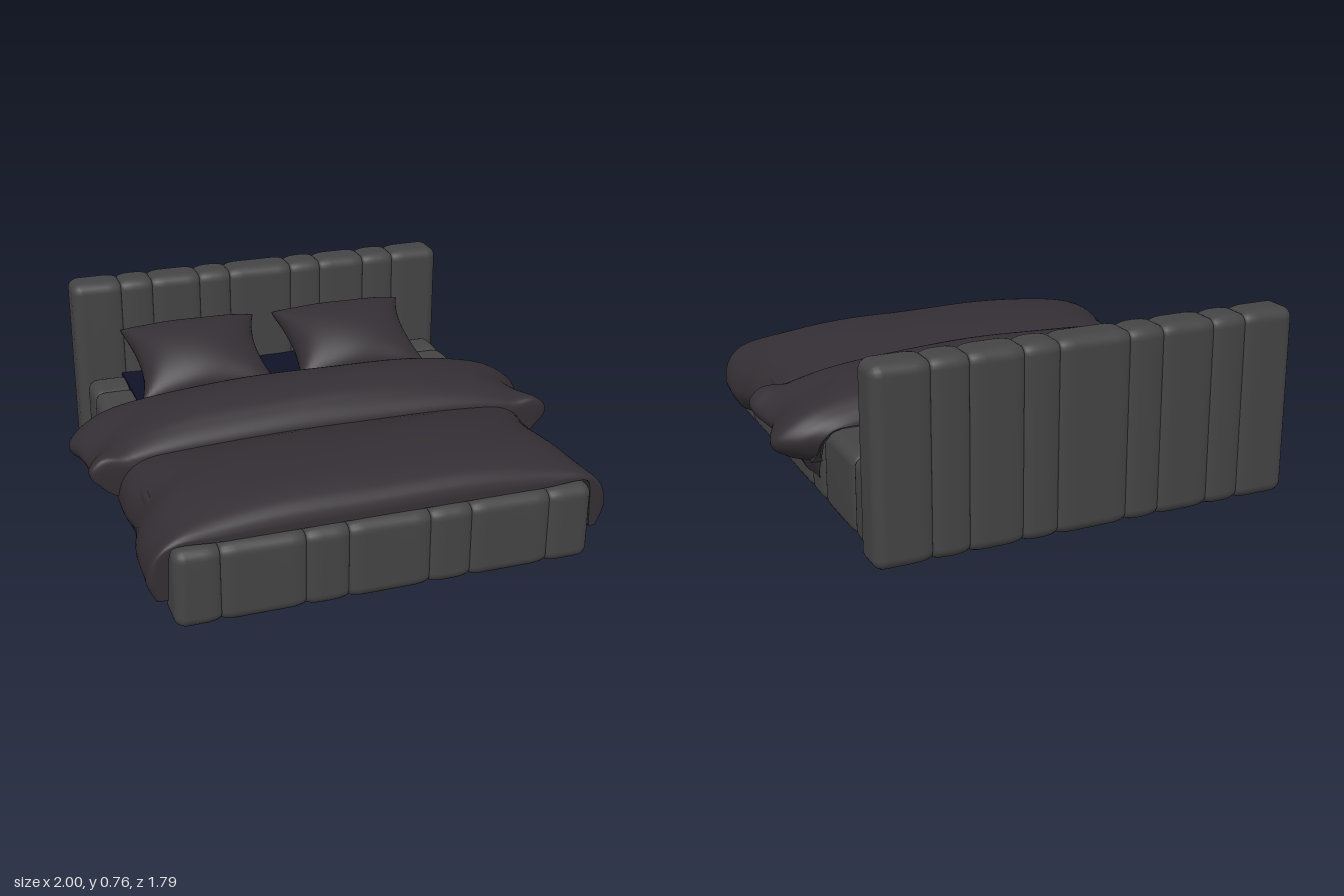
import * as THREE from 'three';
import { mergeVertices } from 'three/addons/utils/BufferGeometryUtils.js';

const { smoothstep } = THREE.MathUtils;
const mat = (color) => new THREE.MeshStandardMaterial({ color, side: THREE.DoubleSide });

// Smooth surface from a grid of points; faces look along du x dv
function surface(nu, nv, point) {
  const pos = [], idx = [];
  for (let i = 0; i <= nu; i++) for (let j = 0; j <= nv; j++) pos.push(...point(i, j));
  for (let i = 0; i < nu; i++) for (let j = 0; j < nv; j++) {
    const a = i * (nv + 1) + j, b = a + nv + 1;
    idx.push(a, b, b + 1, a, b + 1, a + 1);
  }
  let g = new THREE.BufferGeometry();
  g.setAttribute('position', new THREE.Float32BufferAttribute(pos, 3));
  g.setIndex(idx);
  g = mergeVertices(g, 1e-5);
  g.computeVertexNormals();
  return g;
}

// Upholstered panel along x: rounded section, each end eased by its own depth and width
function panelGeometry(x0, x1, h, d, endA, endB) {
  const R = 0.045, N = 6;
  const end = ([depth, width], x, dir) => {
    const list = [{ x, inset: depth + 0.006, s: 0 }, { x, inset: depth + 0.006, s: 1 }];
    for (let k = 0; k <= N; k++) {
      const f = (k / N) * Math.PI / 2;
      list.push({ x: x + dir * width * (1 - Math.cos(f)), inset: depth * (1 - Math.sin(f)), s: 1 });
    }
    return list;
  };
  const rows = [...end(endA, x0, 1), ...end(endB, x1, -1).reverse()];
  const signs = [[1, 1], [-1, 1], [-1, -1], [1, -1]];
  return surface(24, rows.length - 1, (i, j) => {
    const { x, inset, s } = rows[j];
    const n = i % 24, k = Math.floor(n / 6), a = (k + (n % 6) / 5) * Math.PI / 2;
    const r = Math.max(R - inset, 0.004);
    const y = signs[k][0] * (h / 2 - inset - r) + r * Math.cos(a);
    const z = signs[k][1] * (d / 2 - inset - r) + r * Math.sin(a);
    return [x, y * s, z * s];
  });
}

// Row of panels between the listed seams
function panelRow(name, seams, h, d, material) {
  const group = new THREE.Group();
  group.name = name;
  const groove = [0.016, 0.06], round = [0.04, 0.045];
  for (let i = 0; i < seams.length - 1; i++) {
    const first = i === 0, last = i === seams.length - 2;
    const m = new THREE.Mesh(panelGeometry(seams[i], seams[i + 1], h, d,
      first ? round : groove, last ? round : groove), material);
    m.name = name + 'Panel';
    group.add(m);
  }
  return group;
}

// Puffed cover: the outer section swells away from the inner one by station [z, puff, width]
function cover(outer, inner, stations, hemLift) {
  const spline = (half) => new THREE.SplineCurve([
    ...half.slice(1).reverse().map(([x, y]) => new THREE.Vector2(-x, y)),
    ...half.map(([x, y]) => new THREE.Vector2(x, y))]);
  const out = spline(outer), inn = spline(inner);
  const along = new THREE.CatmullRomCurve3(stations.map((s) => new THREE.Vector3(...s)));
  const NU = 72, NV = 64;
  return surface(NU, 2 * NV + 2, (i, j) => {
    const st = along.getPoint(i / NU), p = Math.max(st.y, 0), w = st.z;
    const n = j % (2 * NV + 2), top = n <= NV;
    const t = top ? n / NV : 1 - (n - NV - 1) / NV;
    const a = inn.getPoint(t);
    let x = a.x, y = a.y, z = st.x;
    if (top) {
      const b = out.getPoint(t), q = p ** 0.3;
      const side = smoothstep(Math.abs(b.x), 0.6, 0.9);
      x += (b.x * w - a.x) * q;
      y += (b.y - a.y) * p;
      // soft wrinkles, stronger where the cloth hangs
      x += Math.sign(x) * side * p * 0.005 * Math.sin(z * 21 + x * 5);
      y += p * 0.003 * Math.sin(x * 9 + z * 14) + side * p * 0.005 * Math.sin(z * 23 + x * 8);
    }
    y += smoothstep(Math.abs(x), 0.82, 0.95) * hemLift * smoothstep(z, 0, 0.19);
    // the hanging back edge sweeps forward
    z += 0.065 * smoothstep(-z, 0.05, 0.31) * (1 - smoothstep(y, 0.13, 0.33));
    return [x, y, z];
  });
}

// Pillow half: pinched corners, swollen middle
function pillowHalf(sign, thickness) {
  const N = 28;
  return surface(N, N, (i, j) => {
    const ease = (k) => Math.sin((k / N - 0.5) * Math.PI);
    const v = ease(i), u = ease(j) * sign;
    const h = thickness * Math.max((1 - u * u) * (1 - v * v), 0) ** 0.42;
    const ripple = 1 + 0.05 * Math.sin(7 * u + 3 * v) * (u * u + v * v) / 2;
    return [0.305 * u * (1 - 0.15 * (1 - v * v)), sign * h * ripple, 0.222 * v * (1 - 0.06 * (1 - u * u))];
  });
}

export function createModel() {
  const bed = new THREE.Group();
  bed.name = 'bed';
  const frameMat = mat(0x444444), clothMat = mat(0x332e33), mattressMat = mat(0x101226);

  // Headboard and footboard
  const headboard = panelRow('headboard',
    [-0.855, -0.64, -0.5, -0.285, -0.145, 0.14, 0.28, 0.49, 0.635, 0.855], 0.757, 0.16, frameMat);
  headboard.position.set(0, 0.3785, -0.815);
  const footboard = panelRow('footboard',
    [-0.82, -0.65, -0.33, -0.165, 0.155, 0.32, 0.64, 0.82], 0.315, 0.18, frameMat);
  footboard.position.set(0, 0.1575, 0.802);
  bed.add(headboard, footboard);

  // Side rails
  for (const s of [1, -1]) {
    const rail = panelRow(s > 0 ? 'leftRail' : 'rightRail',
      [-0.74, -0.58, -0.25, -0.09, 0.25, 0.4, 0.74], 0.325, 0.19, frameMat);
    rail.rotation.y = -Math.PI / 2;
    rail.position.set(s * 0.725, 0.1625, 0);
    bed.add(rail);
  }

  // Mattress, recessed above the floor
  const mattress = new THREE.Mesh(new THREE.BoxGeometry(1.32, 0.25, 1.48), mattressMat);
  mattress.name = 'mattress';
  mattress.position.y = 0.205;
  bed.add(mattress);

  // Duvet draped over the frame
  const duvet = new THREE.Mesh(cover(
    [[0, 0.452], [0.35, 0.447], [0.62, 0.422], [0.78, 0.375], [0.875, 0.28], [0.905, 0.18], [0.865, 0.1]],
    [[0, 0.314], [0.35, 0.314], [0.62, 0.314], [0.79, 0.322], [0.825, 0.29], [0.83, 0.2], [0.835, 0.115]],
    [[-0.31, 0, 0.95], [-0.28, 0.3, 0.96], [-0.15, 0.4, 0.97], [0, 0.42, 0.97], [0.15, 0.42, 0.98],
      [0.25, 0.62, 0.97], [0.4, 0.9, 0.955], [0.55, 1, 0.975], [0.68, 0.95, 1], [0.78, 0.74, 1.01],
      [0.825, 0.52, 1.02], [0.845, 0.25, 1.02], [0.85, 0, 1.01]], 0), clothMat);
  duvet.name = 'duvet';

  // Folded-back top of the duvet
  const fold = new THREE.Mesh(cover(
    [[0, 0.505], [0.4, 0.493], [0.68, 0.455], [0.87, 0.39], [0.985, 0.3], [0.99, 0.24], [0.92, 0.19]],
    [[0, 0.332], [0.4, 0.332], [0.64, 0.332], [0.78, 0.328], [0.84, 0.28], [0.85, 0.23], [0.87, 0.19]],
    [[-0.318, 0, 0.82], [-0.308, 0.22, 0.88], [-0.275, 0.5, 0.96], [-0.21, 0.77, 1.01], [-0.12, 0.94, 0.985],
      [-0.03, 1, 0.955], [0.06, 0.9, 0.965], [0.13, 0.68, 0.995], [0.178, 0.4, 1.02], [0.195, 0, 1.02]],
    0.05), clothMat);
  fold.name = 'duvetFold';
  bed.add(duvet, fold);

  // Pillows leaning back, flattened against the mattress and headboard
  for (const x of [0.345, -0.355]) {
    const pillow = new THREE.Group();
    pillow.name = x > 0 ? 'leftPillow' : 'rightPillow';
    for (const sign of [1, -1]) {
      const g = pillowHalf(sign, sign > 0 ? 0.125 : 0.16);
      g.rotateX(0.44).translate(x, 0.442, -0.527);
      const p = g.attributes.position;
      for (let i = 0; i < p.count; i++) {
        p.setY(i, Math.max(p.getY(i), 0.334));
        p.setZ(i, Math.max(p.getZ(i), -0.728));
      }
      g.computeVertexNormals();
      const half = new THREE.Mesh(g, clothMat);
      half.name = sign > 0 ? 'pillowTop' : 'pillowUnderside';
      pillow.add(half);
    }
    bed.add(pillow);
  }
  return bed;
}
